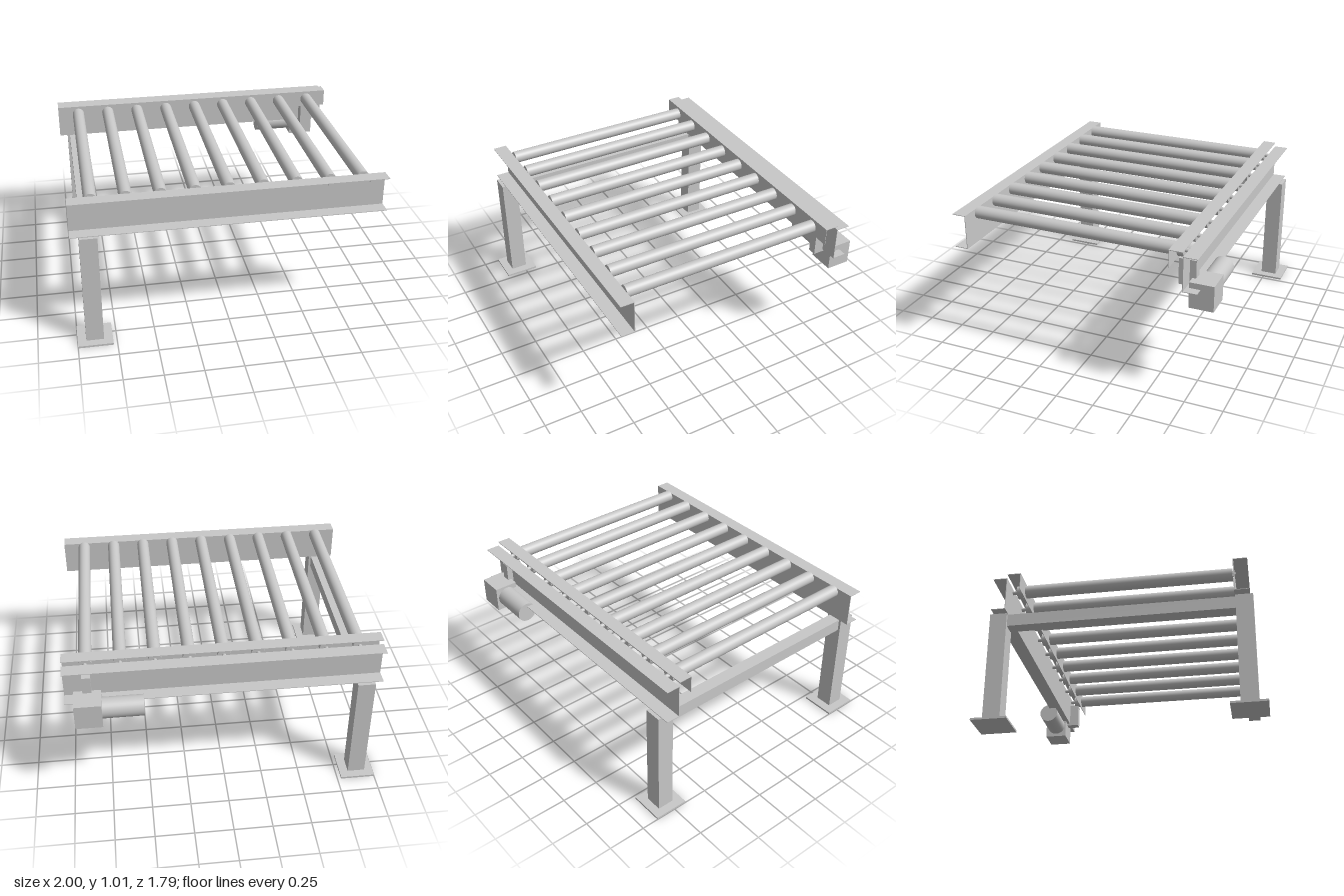
import * as THREE from 'three';

const steel = new THREE.MeshStandardMaterial({ color: 0xc8c8c8 });
steel.name = 'grey steel';

export function createModel() {
  const model = new THREE.Group();
  model.name = 'rollerConveyor';

  // box given by its limits on each axis
  const box = (name, x0, x1, y0, y1, z0, z1) => {
    const m = new THREE.Mesh(new THREE.BoxGeometry(x1 - x0, y1 - y0, z1 - z0), steel);
    m.position.set((x0 + x1) / 2, (y0 + y1) / 2, (z0 + z1) / 2);
    m.name = name;
    model.add(m);
  };
  // box measured outward from a rail's outer face, on the front (s = 1) or back (s = -1)
  const sideBox = (name, s, x0, x1, y0, y1, d0, d1) => {
    const face = s > 0 ? 0.73 : 0.722;
    if (s > 0) box(name, x0, x1, y0, y1, face + d0, face + d1);
    else box(name, x0, x1, y0, y1, -face - d1, -face - d0);
  };
  // cylinder lying along z
  const rod = (name, r, x, y, z0, z1, sides = 32) => {
    const g = new THREE.CylinderGeometry(r, r, z1 - z0, sides).rotateX(Math.PI / 2);
    const m = new THREE.Mesh(g, steel);
    m.position.set(x, y, (z0 + z1) / 2);
    m.name = name;
    model.add(m);
  };

  // side channels, legs and foot plates
  for (const s of [1, -1]) {
    const side = s > 0 ? 'front' : 'back';
    sideBox(side + 'RailWeb', s, -1, 1, 0.759, 0.986, -0.004, 0);
    sideBox(side + 'RailTopFlange', s, -1, 1, 0.982, 0.986, -0.004, 0.087);
    sideBox(side + 'RailBottomFlange', s, -1, 1, 0.759, 0.763, -0.004, 0.087);
    sideBox(side + 'Leg', s, -0.945, -0.832, 0.012, 0.759, 0, 0.11);
    sideBox(side + 'FootPlate', s, -1, -0.775, 0, 0.013, -0.06, 0.165);
  }
  box('crossMember', -0.929, -0.847, 0.674, 0.756, -0.722, 0.73);

  // rollers with their shafts and drive sprockets
  for (let i = 0; i < 9; i++) {
    const x = -0.857 + (i * 1.714) / 8;
    rod('roller', 0.041, x, 0.96, -0.628, 0.719);
    rod('shaft', 0.013, x, 0.96, -0.738, 0.738, 16);
    rod('sprocket', 0.042, x, 0.96, -0.683, -0.643, 24);
  }

  // chain guard over the sprockets
  box('chainGuardTop', -1, 1, 1.011, 1.015, -0.717, -0.63);
  box('chainGuardSide', -1, 1, 0.9, 1.015, -0.633, -0.63);

  // sensors on the front rail
  for (const x of [0.641, 0.912]) box('sensor', x - 0.02, x + 0.02, 0.943, 0.982, 0.73, 0.767);

  // drive unit
  box('driveCover', 0.83, 0.885, 0.744, 0.915, -0.763, -0.653);
  box('gearbox', 0.772, 0.942, 0.631, 0.8, -0.895, -0.739);
  const motor = new THREE.Mesh(
    new THREE.CylinderGeometry(0.067, 0.067, 0.26, 32).rotateZ(Math.PI / 2), steel);
  motor.position.set(0.643, 0.719, -0.814);
  motor.name = 'motor';
  model.add(motor);

  return model;
}
